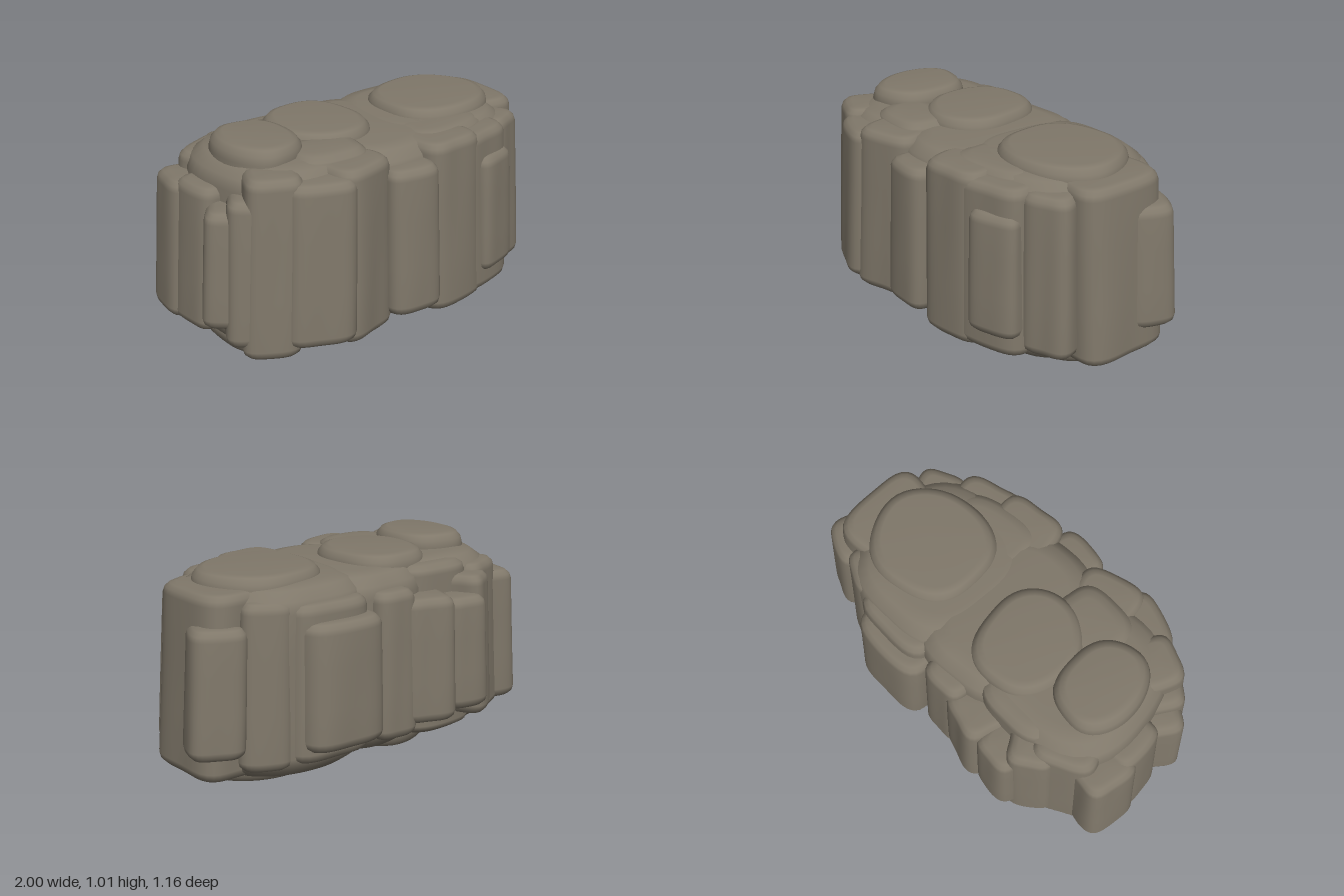
import * as THREE from 'three';

const SIDES = 48;

// Upright stone column with a rounded-polygon footprint, soft ends and a slight inward lean.
// x, z: centre; rx, rz: half sizes; rot: turn of the footprint; y0, y1: ends; n: squareness
function columnGeometry([x, z, rx, rz, rot, y0, y1], n, bevel, rise, seed) {
  const rings = [
    [bevel, y0], [bevel * 0.5, y0 + rise * 0.13], [bevel * 0.13, y0 + rise * 0.5], [0, y0 + rise],
    [0, y0 * 0.66 + y1 * 0.34], [0, y0 * 0.34 + y1 * 0.66],
    [0, y1 - rise], [bevel * 0.13, y1 - rise * 0.5], [bevel * 0.5, y1 - rise * 0.13], [bevel, y1],
  ];
  const pos = [], index = [];
  const put = (px, y, pz) => {
    const lean = 1 - 0.07 * (y - 0.2);
    pos.push(px * lean, y, pz * lean);
  };
  for (const [inset, y] of rings) {
    const a = rx - inset, b = rz - inset;
    for (let i = 0; i < SIDES; i++) {
      const t = (i / SIDES) * Math.PI * 2, c = Math.cos(t), s = Math.sin(t);
      const wobble = 1 + 0.018 * Math.sin(3 * t + seed * 2.3) + 0.012 * Math.sin(5 * t + seed + y * 4);
      const r = wobble * Math.pow(Math.abs(c) ** n + Math.abs(s) ** n, -1 / n);
      const u = a * r * c, v = b * r * s;
      put(x + u * Math.cos(rot) - v * Math.sin(rot), y, z + u * Math.sin(rot) + v * Math.cos(rot));
    }
  }
  const low = pos.length / 3;
  put(x, y0, z);
  put(x, y1, z);
  const last = (rings.length - 1) * SIDES;
  for (let i = 0; i < SIDES; i++) {
    const j = (i + 1) % SIDES;
    for (let k = 0; k < rings.length - 1; k++) {
      const p = k * SIDES, q = p + SIDES;
      index.push(p + i, q + i, p + j, p + j, q + i, q + j);
    }
    index.push(low, i, j, low + 1, last + j, last + i);
  }
  const g = new THREE.BufferGeometry();
  g.setAttribute('position', new THREE.Float32BufferAttribute(pos, 3));
  g.setIndex(index);
  g.computeVertexNormals();
  return g;
}

export function createModel() {
  const group = new THREE.Group();
  group.name = 'rockFormation';
  const stone = new THREE.MeshStandardMaterial({ name: 'stone', color: 0x80786a });

  // bevel: how far the ends draw in; rise: height over which they do
  const addSet = (name, list, n, bevel, rise) => {
    const set = new THREE.Group();
    set.name = name;
    list.forEach((c, i) => {
      const mesh = new THREE.Mesh(columnGeometry(c, n, bevel, rise, i + 1), stone);
      mesh.name = name + (i + 1);
      set.add(mesh);
    });
    group.add(set);
  };

  // Broad body that fills the middle and the gaps between columns
  addSet('coreStone', [
    [-0.45, 0.01, 0.43, 0.42, 0, 0.065, 0.95],
    [-0.03, 0.03, 0.36, 0.45, 0, 0.08, 0.945],
    [0.4, 0.02, 0.41, 0.42, 0.05, 0.06, 0.95],
  ], 2.8, 0.14, 0.11);

  // Tall rounded columns that show as caps above and below
  addSet('capColumn', [
    [-0.62, 0.005, 0.2, 0.245, 0.05, 0.01, 1.02],
    [-0.21, -0.05, 0.25, 0.28, 0, 0.025, 0.995],
    [0.49, 0.025, 0.315, 0.29, -0.1, 0.03, 0.995],
  ], 2.3, 0.06, 0.07);

  // Lower shoulders beside the caps
  addSet('shoulderColumn', [
    [-0.38, 0.23, 0.2, 0.16, 0.2, 0.045, 0.97],
    [-0.38, -0.25, 0.22, 0.17, 0.1, 0.08, 0.935],
    [0.32, 0.27, 0.24, 0.17, -0.1, 0.06, 0.95],
  ], 3, 0.08, 0.05);

  // Front columns
  addSet('frontColumn', [
    [-0.725, 0.27, 0.14, 0.13, 0.55, 0.08, 0.94],
    [-0.545, 0.38, 0.17, 0.14, 0.42, 0.13, 0.91],
    [-0.34, 0.37, 0.17, 0.15, -0.2, 0.1, 0.94],
    [-0.06, 0.455, 0.145, 0.12, 0.16, 0.15, 0.875],
    [0.21, 0.375, 0.18, 0.17, -0.1, 0.085, 0.94],
    [0.42, 0.345, 0.2, 0.17, -0.15, 0.1, 0.92],
    [0.49, 0.45, 0.135, 0.085, -0.28, 0.2, 0.8],
    [0.67, 0.265, 0.13, 0.14, -0.35, 0.125, 0.905],
  ], 4, 0.05, 0.05);

  // Columns at both ends
  addSet('endColumn', [
    [-0.865, 0.125, 0.11, 0.13, 0.75, 0.22, 0.78],
    [-0.86, -0.07, 0.1, 0.14, 0, 0.14, 0.84],
    [-0.845, -0.25, 0.12, 0.14, 0.2, 0.14, 0.82],
    [-0.81, 0.2, 0.1, 0.13, 0.65, 0.14, 0.84],
    [0.75, 0.02, 0.18, 0.24, 0.08, 0.08, 0.94],
    [0.85, -0.135, 0.135, 0.13, 0.5, 0.2, 0.8],
  ], 4, 0.05, 0.05);

  // Back columns
  addSet('backColumn', [
    [-0.66, -0.28, 0.16, 0.14, -0.42, 0.12, 0.9],
    [-0.53, -0.385, 0.12, 0.13, -0.5, 0.16, 0.87],
    [-0.42, -0.445, 0.125, 0.13, 0.15, 0.23, 0.79],
    [-0.21, -0.405, 0.145, 0.14, 0.38, 0.2, 0.815],
    [-0.01, -0.355, 0.125, 0.13, 0.15, 0.15, 0.87],
    [0.33, -0.345, 0.22, 0.175, 0.08, 0.2, 0.8],
    [0.36, -0.275, 0.22, 0.175, 0.1, 0.14, 0.88],
    [0.635, -0.22, 0.13, 0.13, 0.55, 0.12, 0.9],
  ], 4, 0.05, 0.05);

  return group;
}
